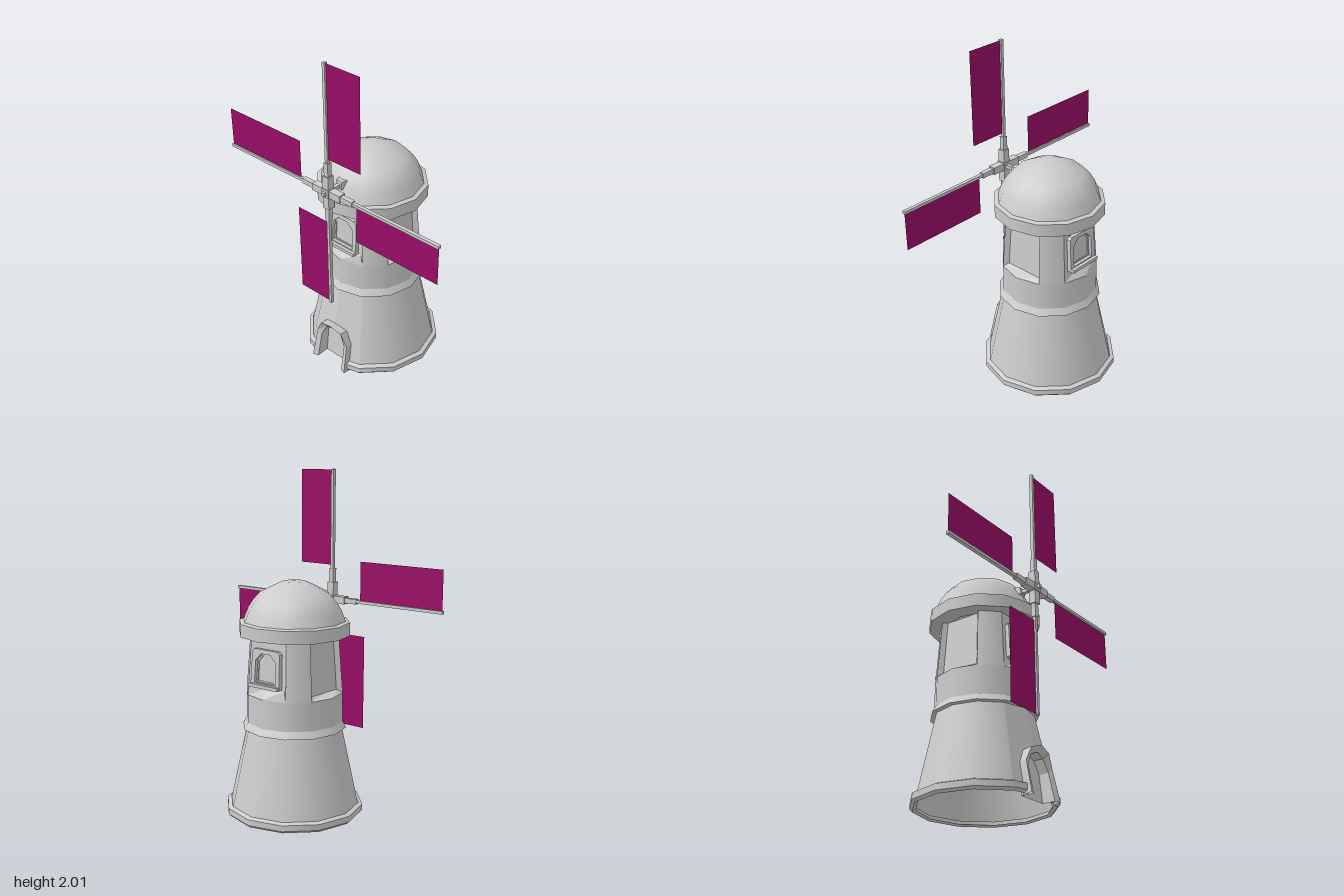
import * as THREE from 'three';

const grey = new THREE.MeshStandardMaterial({ color: 0xcccccc, side: THREE.DoubleSide });
const purple = new THREE.MeshStandardMaterial({ color: 0x990d66, side: THREE.DoubleSide });
const D = Math.PI / 180;

function add(parent, name, geometry, material = grey) {
  const mesh = new THREE.Mesh(geometry, material);
  mesh.name = name;
  parent.add(mesh);
  return mesh;
}

function box(parent, name, size, pos) {
  const mesh = add(parent, name, new THREE.BoxGeometry(...size));
  mesh.position.set(...pos);
  return mesh;
}

// Flat faces from four corners each
function quads(list) {
  const pos = list.flatMap(([a, b, c, d]) => [a, b, c, a, c, d].flat());
  const g = new THREE.BufferGeometry();
  g.setAttribute('position', new THREE.Float32BufferAttribute(pos, 3));
  g.computeVertexNormals();
  return g;
}

// Twelve-sided shell, round the axis smooth, along the profile creased
function shell(parent, name, profile, from = 0, sweep = 360) {
  const group = new THREE.Group();
  group.name = name;
  for (let i = 0; i < profile.length - 1; i++) {
    const pts = [profile[i], profile[i + 1]].map(p => new THREE.Vector2(...p));
    add(group, name + 'Band', new THREE.LatheGeometry(pts, Math.round(sweep / 30), from * D, sweep * D));
  }
  parent.add(group);
}

const strip = (a, b) => a.slice(1).map((p, i) => [a[i], p, b[i + 1], b[i]]);

// Recess across two wall facets, facing +z
function recess(halfW, sillY, zLow, zHigh) {
  const outer = [[-0.13, 1.07, 0.225], [-0.1425, 0.73, 0.247], [0, 0.73, 0.285], [0.1425, 0.73, 0.247], [0.13, 1.07, 0.225]];
  const t = halfW - 0.01;
  const inner = [[-t, 1.07, zHigh], [-halfW, sillY, zLow], [0, sillY, zLow], [halfW, sillY, zLow], [t, 1.07, zHigh]];
  return quads([...strip(outer, inner), [inner[1], inner[3], inner[4], inner[0]]]);
}

function windowFrame() {
  const group = new THREE.Group();
  group.name = 'window';
  const outline = (w, y0, y1, c) => [[-w, y0], [w, y0], [w * 0.95, y1 - c], [w * 0.95 - c, y1], [c - w * 0.95, y1], [-w * 0.95, y1 - c]]
    .map(p => new THREE.Vector2(...p));
  const ring = (w, y0, y1, c, wi, yi0, yi1, ci, depth) => {
    const shape = new THREE.Shape(outline(w, y0, y1, c));
    shape.holes.push(new THREE.Path(outline(wi, yi0, yi1, ci)));
    return new THREE.ExtrudeGeometry(shape, { depth, bevelEnabled: false });
  };
  const tilted = new THREE.Group();
  add(tilted, 'windowFrame', ring(0.107, 0, 0.215, 0.015, 0.078, 0.022, 0.19, 0.04, 0.045));
  add(tilted, 'windowInnerFrame', ring(0.08, 0.02, 0.192, 0.04, 0.068, 0.03, 0.18, 0.035, 0.025));
  tilted.position.set(0, 0.795, 0.218);
  tilted.rotation.x = -0.06;
  group.add(tilted);
  box(group, 'windowSill', [0.21, 0.02, 0.05], [0, 0.803, 0.257]);
  return group;
}

const coneR = y => 0.395 - 0.215 * y;

function addDoor(parent) {
  const mirror = half => [...half, ...half.slice(0, -1).reverse().map(([z, y]) => [-z, y])];
  const innerArch = mirror([[0.095, 0], [0.092, 0.16], [0.055, 0.23], [0, 0.25]]);
  const outerArch = mirror([[0.13, 0], [0.12, 0.18], [0.08, 0.26], [0, 0.285]]);
  const wallX = (z, y) => -coneR(y) + 0.268 * Math.abs(z);
  const frontX = y => y < 0.22 ? -0.405 + 0.21 * y : -0.359 - 0.4 * (y - 0.22);

  // Two flat wall facets with half an arch cut out of each
  for (const s of [1, -1]) {
    const pts = [[0.095, 0.03], [0.092, 0.16], [0.055, 0.23], [0, 0.25], [0, 0.52],
      [coneR(0.52) / 2, 0.52], [coneR(0.03) / 2, 0.03]];
    const g = new THREE.ShapeGeometry(new THREE.Shape(pts.map(p => new THREE.Vector2(...p))));
    const p = g.attributes.position;
    for (let i = 0; i < p.count; i++) {
      const z = p.getX(i), y = p.getY(i);
      p.setXYZ(i, wallX(z, y), y, s * z);
    }
    if (s < 0) g.setIndex([...g.index.array].reverse());
    g.computeVertexNormals();
    add(parent, 'doorWall', g);
  }
  // Flared surround, reveal and door leaf
  const rimIn = innerArch.map(([z, y]) => [frontX(y) + 0.012, y, z]);
  const rimOut = outerArch.map(([z, y]) => [frontX(y), y, z]);
  const wall = outerArch.map(([z, y]) => [wallX(z, y) + 0.01, y - 0.01, z]);
  const back = innerArch.map(([z, y]) => [-0.315 + 0.1 * y, y, z]);
  add(parent, 'doorSurround', quads([...strip(rimIn, rimOut), ...strip(rimOut, wall)]));
  add(parent, 'doorReveal', quads(strip(back, rimIn)));
  add(parent, 'door', quads([0, 1, 2].map(i => [back[i], back[i + 1], back[5 - i], back[6 - i]])));
}

function addBody(parent) {
  // Foot ring, left open at the doorway
  const foot = [[0.375, 0.01], [0.395, 0], [0.41, 0.015], [0.41, 0.05], [0.385, 0.06]];
  shell(parent, 'footRing', foot, 300, 300);
  for (const s of [1, -1]) {
    const at = f => foot.map(([r, y]) => [-r * (1 - f * (1 - Math.cos(30 * D))), y, s * f * r * 0.5]);
    add(parent, 'footRingEnd', quads(strip(at(1), at(0.55))));
  }
  shell(parent, 'lowerWall', [[coneR(0.03), 0.03], [coneR(0.52), 0.52]], 300, 300);
  addDoor(parent);
  shell(parent, 'beltRing', [[0.28, 0.515], [0.308, 0.52], [0.303, 0.53], [0.286, 0.56]]);
  shell(parent, 'middleWall', [[0.286, 0.555], [0.285, 0.73]]);

  // Upper wall: four piers with recesses between them
  for (let i = 0; i < 4; i++) {
    shell(parent, 'pier', [[0.285, 0.73], [0.26, 1.07]], 30 + 90 * i, 30);
    const side = new THREE.Group();
    side.name = i % 2 ? 'windowSide' : 'panelSide';
    side.rotation.y = i * 90 * D;
    if (i % 2) {
      add(side, 'windowRecess', recess(0.125, 0.79, 0.238, 0.222));
      side.add(windowFrame());
    } else {
      add(side, 'panelRecess', recess(0.118, 0.75, 0.22, 0.2));
    }
    parent.add(side);
  }
}

function addCap(parent) {
  shell(parent, 'capRim', [[0.22, 1.07], [0.325, 1.07], [0.325, 1.145], [0.3, 1.152]]);
  const dome = [[0.3, 1.15], [0.275, 1.215], [0.245, 1.262], [0.205, 1.308], [0.14, 1.343], [0.07, 1.376], [0, 1.378]];
  add(parent, 'dome', new THREE.LatheGeometry(dome.map(p => new THREE.Vector2(...p)), 12));
}

function addSails(parent) {
  const wheel = new THREE.Group();
  wheel.name = 'sailWheel';
  wheel.position.set(-0.36, 1.23, 0);
  box(wheel, 'axle', [0.2, 0.022, 0.022], [0.055, 0, 0]);
  box(wheel, 'hub', [0.055, 0.05, 0.05], [0, 0, 0]);
  // Bearing block on the dome
  const bearing = add(wheel, 'bearing', new THREE.CylinderGeometry(0.03, 0.05, 0.05, 4));
  bearing.geometry = bearing.geometry.toNonIndexed();
  bearing.geometry.computeVertexNormals();
  bearing.rotation.set(45 * D, 0, 75 * D, 'ZXY');
  bearing.rotation.set(0, 0, 75 * D);
  bearing.geometry.rotateY(45 * D);
  bearing.position.set(0.105, 0, 0);
  for (let i = 0; i < 4; i++) {
    const arm = new THREE.Group();
    arm.name = 'sailArm';
    arm.rotation.x = i * 90 * D;
    box(arm, 'armSocket', [0.044, 0.09, 0.044], [0, 0.058, 0]);
    box(arm, 'armCollar', [0.03, 0.09, 0.03], [0, 0.14, 0]);
    box(arm, 'spar', [0.021, 0.66, 0.018], [0, 0.442, 0]);
    const sail = add(arm, 'sail', new THREE.PlaneGeometry(0.236, 0.562), purple);
    sail.rotation.y = -90 * D;
    sail.position.set(0, 0.487, 0.122);
    wheel.add(arm);
  }
  parent.add(wheel);
}

export function createModel() {
  const model = new THREE.Group();
  model.name = 'windmill';
  addBody(model);
  addCap(model);
  addSails(model);
  return model;
}
